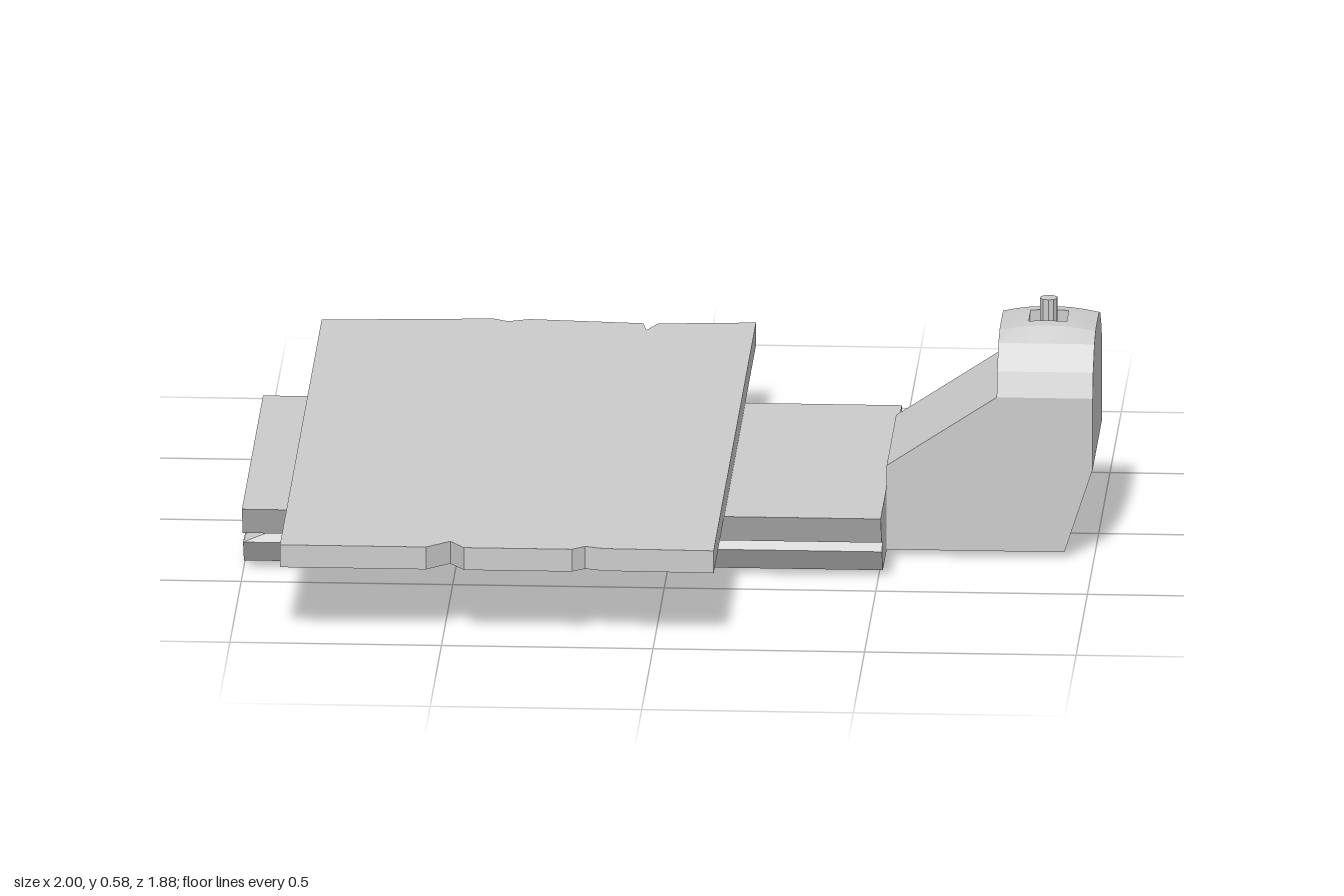
import * as THREE from 'three';

const material = new THREE.MeshStandardMaterial({ color: 0xcccccc, flatShading: true });

function add(parent, name, geometry) {
  geometry.computeVertexNormals();
  const mesh = new THREE.Mesh(geometry, material);
  mesh.name = name;
  parent.add(mesh);
  return mesh;
}

const shapeOf = (points) => new THREE.Shape(points.map(([x, y]) => new THREE.Vector2(x, y)));

// Closed outline from the right half of a symmetric section, listed bottom to top
const mirrored = (half) => shapeOf([...half, ...half.filter(([x]) => x > 0).reverse().map(([x, y]) => [-x, y])]);

// Sweep a (z, y) section along x, from x0 to x1
function alongX(shape, x0, x1, steps = 1) {
  const geometry = new THREE.ExtrudeGeometry(shape, { depth: x1 - x0, steps, bevelEnabled: false });
  return geometry.rotateY(Math.PI / 2).translate(x0, 0, 0);
}

// Move every vertex by a rule
function reshape(geometry, rule) {
  const p = geometry.attributes.position;
  const v = new THREE.Vector3();
  for (let i = 0; i < p.count; i++) {
    rule(v.fromBufferAttribute(p, i));
    p.setXYZ(i, v.x, v.y, v.z);
  }
  return geometry;
}

export function createModel() {
  const model = new THREE.Group();
  model.name = 'model';

  // Base: two layers meeting in a groove that also wraps round the far end
  const base = new THREE.Group();
  base.name = 'base';
  model.add(base);
  const seam = 0.091;
  const layers = {
    baseLower: [[0.377, 0.015], [0.417, 0.072], [0.394, seam]],
    baseUpper: [[0.394, seam], [0.432, 0.099], [0.467, 0.168]],
  };
  for (const [name, half] of Object.entries(layers)) {
    const geometry = alongX(mirrored(half), -1, 0.51);
    add(base, name, reshape(geometry, (v) => {
      if (v.x < -0.99 && Math.abs(v.y - seam) < 0.002) v.x = -0.94;
    }));
  }

  // Plank lying across the base, with chipped ends
  const plank = shapeOf([
    [-0.885, -0.91], [-0.48, -0.94], [-0.445, -0.92], [-0.395, -0.94], [-0.125, -0.92],
    [-0.115, -0.865], [-0.09, -0.92], [0.14, -0.94], [0.14, 0.935], [-0.12, 0.93],
    [-0.165, 0.915], [-0.195, 0.94], [-0.45, 0.94], [-0.485, 0.89], [-0.54, 0.94], [-0.885, 0.94],
  ]);
  const plankGeometry = new THREE.ExtrudeGeometry(plank, { depth: 0.055, bevelEnabled: false });
  add(model, 'plank', plankGeometry.rotateX(Math.PI / 2).translate(0, 0.224, 0));

  // Head: sloped body with a rounded, crowned cap
  const head = new THREE.Group();
  head.name = 'head';
  model.add(head);
  const body = shapeOf([
    [0.51, 0.015], [0.93, 0.015], [0.997, 0.22], [0.997, 0.394], [0.77, 0.394], [0.51, 0.222],
  ]);
  const bodyGeometry = new THREE.ExtrudeGeometry(body, { depth: 0.414, bevelEnabled: false });
  add(head, 'headBody', bodyGeometry.translate(0, 0, -0.207));

  // Cap in three slices; the middle one is notched to leave a square socket
  const arch = [[0.207, 0.394], [0.187, 0.452], [0.13, 0.505], [0.08, 0.522]];
  const solid = mirrored([...arch, [0.045, 0.524]]);
  const socketed = mirrored([...arch, [0.045, 0.524], [0.045, 0.42]]);
  const slices = [[0.77, 0.837, solid], [0.837, 0.927, socketed], [0.927, 0.997, solid]];
  slices.forEach(([x0, x1, section], i) => {
    const geometry = alongX(section, x0, x1, 2);
    add(head, `headCap${i + 1}`, reshape(geometry, (v) => {
      const u = (v.x - 0.8835) / 0.1135;
      if (v.y > 0.51) v.y += 0.013 * (1 - u * u);
    }));
  });

  // Pin running down through the head
  const pin = add(head, 'pin', new THREE.CylinderGeometry(0.021, 0.021, 0.58, 10));
  pin.position.set(0.882, 0.29, 0);

  return model;
}
